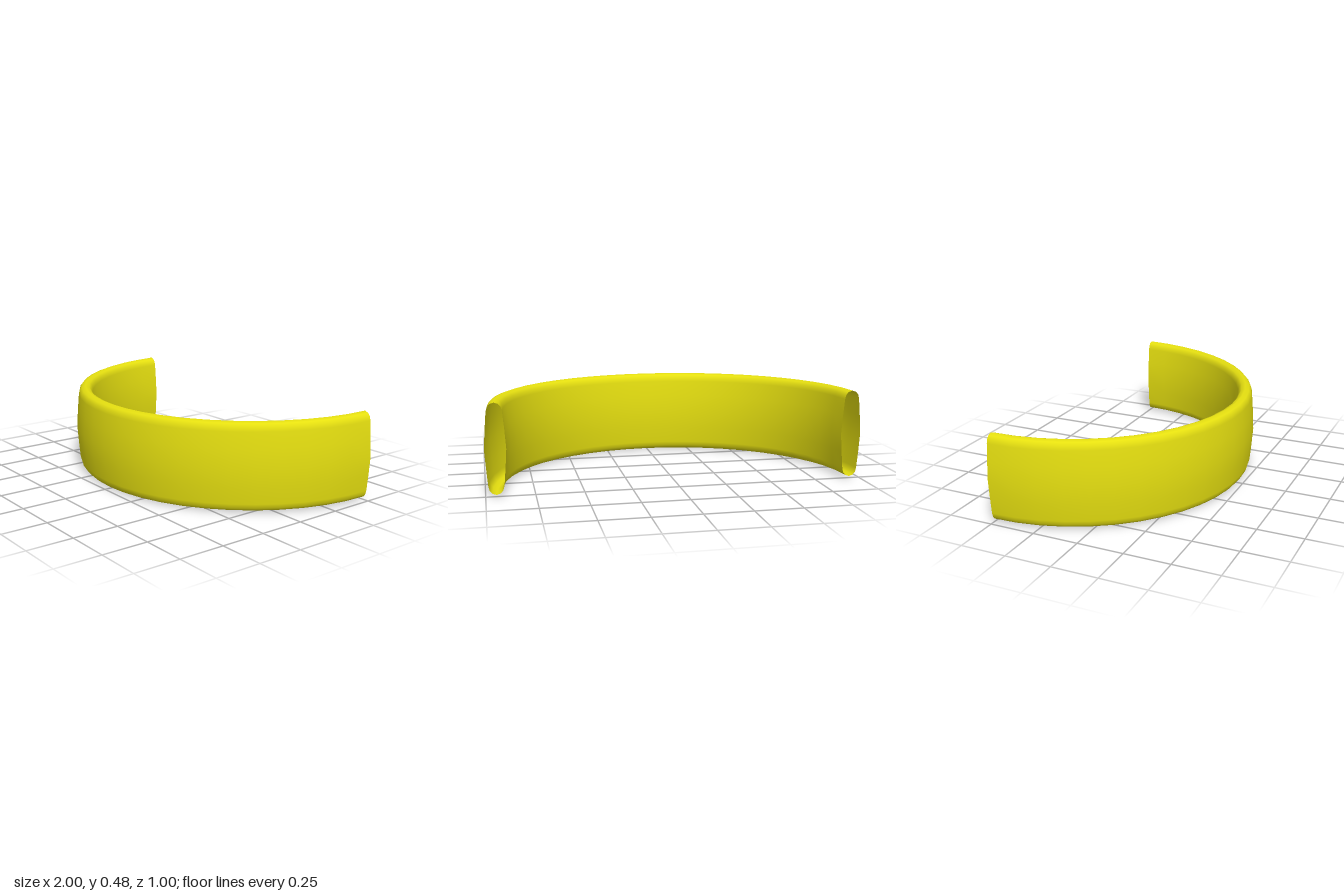
import * as THREE from 'three';
import { mergeVertices } from 'three/addons/utils/BufferGeometryUtils.js';

// Half of the band's cross-section: [half thickness, height above its middle]
const HALF = [[0.055, 0], [0.048, 0.1], [0.04, 0.19], [0.034, 0.213], [0.022, 0.228], [0, 0.236]];
const MID_RADIUS = 0.945;

export function createModel() {
  const group = new THREE.Group();
  group.name = 'band';

  // Closed section: up the outer face, over the top, down the inner face
  const up = HALF.slice(1);
  const outer = [...up.map(([t, h]) => [t, -h]).reverse(), ...HALF];
  const inner = outer.slice(1, -1).reverse().map(([t, h]) => [-t, h]);
  const profile = [...outer, ...inner, outer[0]]
    .map(([t, h]) => new THREE.Vector2(MID_RADIUS + t, h));

  // Half ring, open at both back ends, with one smooth seam
  let geometry = new THREE.LatheGeometry(profile, 24, -Math.PI / 2, Math.PI);
  geometry.deleteAttribute('normal');
  geometry.deleteAttribute('uv');
  geometry = mergeVertices(geometry, 1e-4);

  // Place the ring and let it rise slightly towards the back
  const pos = geometry.attributes.position;
  for (let i = 0; i < pos.count; i++) {
    const z = pos.getZ(i) - 0.5;
    pos.setZ(i, z);
    pos.setY(i, pos.getY(i) + 0.2435 - 0.009 * z);
  }
  geometry.computeVertexNormals();

  const material = new THREE.MeshStandardMaterial({ color: 0xe6e010, side: THREE.DoubleSide });
  const ring = new THREE.Mesh(geometry, material);
  ring.name = 'halfRing';
  group.add(ring);
  return group;
}
